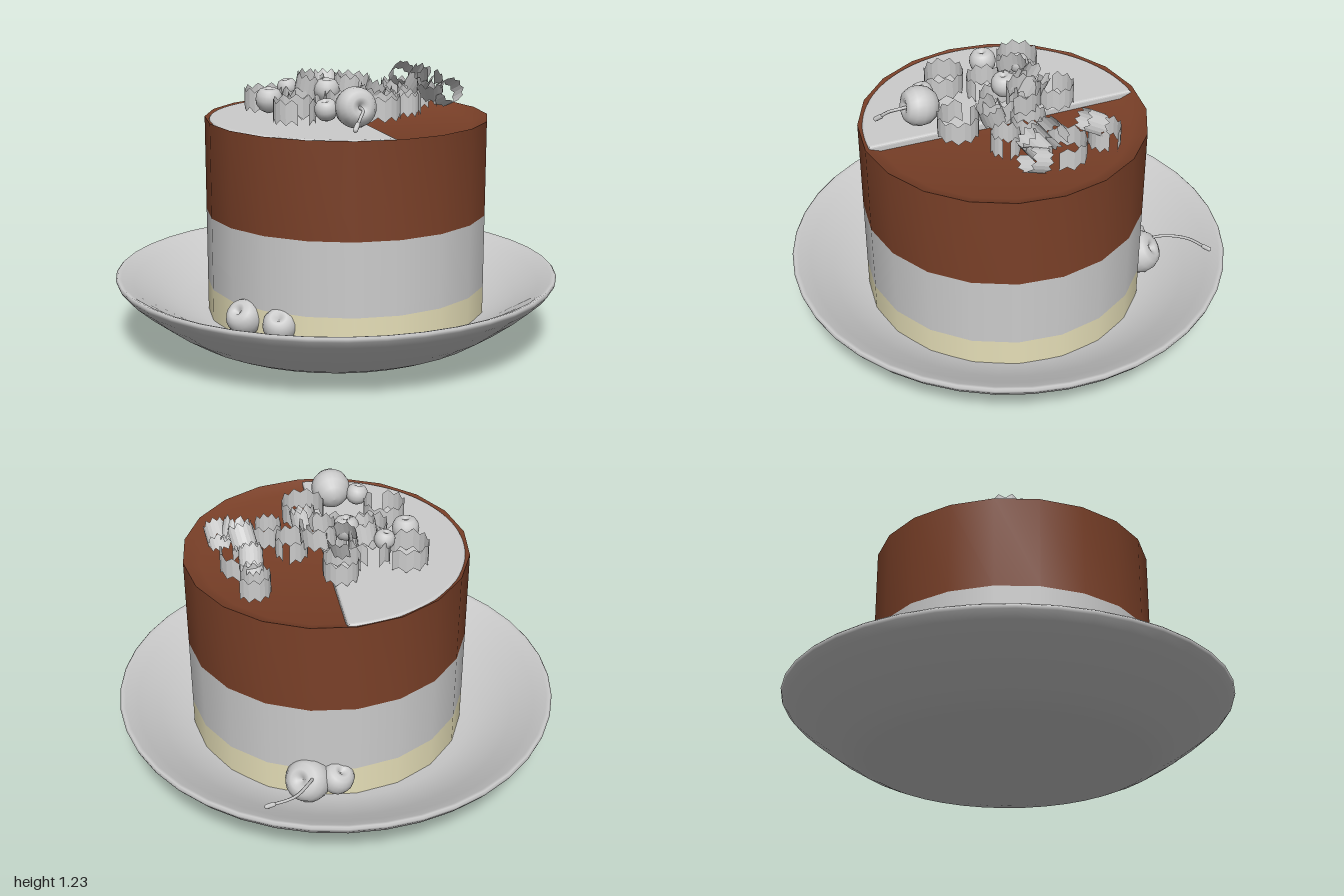
import * as THREE from 'three';
import { toCreasedNormals } from 'three/addons/utils/BufferGeometryUtils.js';

const CX = 0.035, CZ = 0.04, R = 0.63;
const grey = new THREE.MeshStandardMaterial({ color: 0xcccccc });
const ribbonGrey = new THREE.MeshStandardMaterial({ color: 0xcccccc, flatShading: true, side: THREE.DoubleSide });
const brown = new THREE.MeshStandardMaterial({ color: 0x7a4028 });
const beige = new THREE.MeshStandardMaterial({ color: 0xe6dfb8 });

const v2 = ([x, y]) => new THREE.Vector2(x, y);

function add(parent, name, geometry, material, x = 0, y = 0, z = 0) {
  const mesh = new THREE.Mesh(geometry, material);
  mesh.name = name;
  mesh.position.set(x, y, z);
  parent.add(mesh);
  return mesh;
}

const lathe = (points, sides) => toCreasedNormals(new THREE.LatheGeometry(points.map(v2), sides), 0.7);

// Thin ribbon rolled into an open ring, with saw-toothed edges
function curlGeometry(radius, height, arc) {
  const n = 18;
  const geo = new THREE.CylinderGeometry(radius, radius, height, n, 1, true, 0, arc);
  const p = geo.attributes.position;
  for (let i = 0; i < p.count; i++) {
    const k = i % (n + 1);
    p.setY(i, p.getY(i) + (k % 2 ? 0.011 : -0.011));
    const s = 1 - 0.2 * k / n;
    p.setX(i, p.getX(i) * s);
    p.setZ(i, p.getZ(i) * s);
  }
  return geo;
}

// Round fruit with a dimple at the top
function cherryGeometry(r) {
  const profile = [[0, -0.93], [0.3, -0.9], [0.65, -0.72], [0.92, -0.35], [1, 0.05], [0.93, 0.45],
    [0.72, 0.76], [0.45, 0.88], [0.22, 0.8], [0.07, 0.62], [0, 0.58]];
  return new THREE.LatheGeometry(profile.map(([x, y]) => new THREE.Vector2(x * r, y * r)), 24);
}

function addStem(parent, points) {
  const curve = new THREE.CatmullRomCurve3(points.map(p => new THREE.Vector3(...p)));
  add(parent, 'cherryStem', new THREE.TubeGeometry(curve, 16, 0.007, 6), grey);
  // Thickened tip
  const end = curve.getPoint(1);
  const tip = add(parent, 'stemTip', new THREE.CapsuleGeometry(0.011, 0.03, 3, 8), grey, end.x, end.y, end.z);
  tip.quaternion.setFromUnitVectors(new THREE.Vector3(0, 1, 0), curve.getTangent(1));
}

export function createModel() {
  const model = new THREE.Group();

  // Shallow dish: underside, rolled rim, then inner bowl
  const dish = [[0, 0.005], [0.35, 0.01], [0.56, 0.025], [0.64, 0.04], [0.7, 0.067], [0.8, 0.13], [0.9, 0.205],
    [0.97, 0.265], [0.995, 0.297], [1, 0.312], [0.992, 0.32], [0.975, 0.315], [0.92, 0.285],
    [0.82, 0.225], [0.72, 0.175], [0.62, 0.145], [0.5, 0.135], [0, 0.13]];
  add(model, 'plate', new THREE.LatheGeometry(dish.map(v2), 40), grey);

  // Cake layers, bottom to top
  const cake = new THREE.Group();
  cake.name = 'cake';
  cake.position.set(CX, 0, CZ);
  model.add(cake);
  const layer = (name, y0, y1, mat) =>
    add(cake, name, new THREE.CylinderGeometry(R, R, y1 - y0, 20), mat, 0, (y0 + y1) / 2, 0);
  layer('baseLayer', 0.13, 0.285, beige);
  layer('creamLayer', 0.285, 0.61, grey);
  // Chocolate layer with a slightly sunken top
  add(cake, 'chocolateLayer', lathe([[0, 0.61], [R, 0.61], [R, 1.03], [0.6, 1.015], [0.56, 1.0], [0, 0.995]], 20), brown);

  // Half-moon icing covering the left half of the top view
  const half = new THREE.Shape();
  half.absarc(0, 0, 0.598, Math.PI / 2, Math.PI * 1.5, false);
  half.closePath();
  const icing = new THREE.ExtrudeGeometry(half, {
    depth: 0.025, bevelEnabled: true, bevelThickness: 0.01, bevelSize: 0.012, bevelSegments: 3, curveSegments: 32,
  });
  icing.rotateX(-Math.PI / 2);
  add(cake, 'icingHalf', icing, grey, 0, 0.995, 0).rotation.y = -0.04;

  // Ribbon curls: x, y, z, radius, turn, tilt x, tilt z
  const curls = new THREE.Group();
  curls.name = 'curls';
  model.add(curls);
  [
    [-0.27, 1.095, 0.2, 0.1, 0.4, 0, 0],
    [-0.28, 1.095, -0.16, 0.1, 2.2, 0, 0],
    [-0.16, 1.09, 0.05, 0.09, 1.2, 0, 0],
    [-0.12, 1.1, -0.1, 0.1, 3.4, 0, 0],
    [0.02, 1.09, -0.22, 0.09, 5, 0, 0],
    [0.02, 1.1, 0.06, 0.1, 0.2, 0, 0],
    [0.1, 1.1, 0.27, 0.1, 4.2, 0, 0],
    [0.28, 1.085, 0.14, 0.07, 1.5, 0, 0],
    [0.2, 1.09, 0.0, 0.08, 2.9, 0, 0],
    [0.42, 1.085, -0.07, 0.1, 0.9, 0, 0],
    [0.4, 1.085, -0.26, 0.075, 2, 0, 0],
    [-0.1, 1.16, -0.06, 0.07, 2.6, 0.1, 0.15],
    [0.08, 1.155, -0.03, 0.085, 0.7, 0.1, -0.1],
    [0.0, 1.15, -0.12, 0.07, 4, -0.15, 0.3],
    [0.12, 1.13, 0.13, 0.06, 4, 0.5, 0.2],
    [0.4, 1.16, -0.2, 0.055, 1, 0.9, 0.2],
    [0.41, 1.16, -0.01, 0.06, 2, 0.3, 0.4],
    [0.43, 1.15, 0.07, 0.065, 3, 0.7, -0.3],
    [0.5, 1.12, 0.1, 0.06, 5, 0.9, -0.3],
  ].forEach(([x, y, z, r, turn, tx, tz]) => {
    const curl = add(curls, 'curl', curlGeometry(r, 0.09, 5.8), ribbonGrey, x, y, z);
    curl.rotation.set(tx, turn, tz);
  });

  // Cherries: x, y, z, radius, tilt x, tilt z
  const cherries = new THREE.Group();
  cherries.name = 'cherries';
  model.add(cherries);
  [
    [-0.06, 1.123, 0.385, 0.088, 1.4, 0],
    [-0.17, 1.11, 0.335, 0.05, 0.2, 0.2],
    [-0.31, 1.11, -0.01, 0.06, 0.1, 0],
    [-0.185, 1.14, -0.13, 0.046, 0, 0.2],
    [-0.045, 1.14, 0, 0.058, 0.1, 0],
    [0.24, 0.235, -0.56, 0.1, -0.8, -0.6],
    [0.12, 0.24, -0.58, 0.075, -0.4, 0.3],
    [-0.53, 0.23, 0.31, 0.08, 0.5, 0.7],
    [-0.42, 0.225, 0.45, 0.075, 0.6, 0.3],
  ].forEach(([x, y, z, r, tx, tz]) => {
    add(cherries, 'cherry', cherryGeometry(r), grey, x, y, z).rotation.set(tx, 0, tz);
  });
  addStem(cherries, [[-0.06, 1.13, 0.43], [-0.065, 1.125, 0.49], [-0.085, 1.11, 0.52], [-0.12, 1.07, 0.555]]);
  addStem(cherries, [[0.21, 0.27, -0.57], [0.26, 0.31, -0.67], [0.34, 0.325, -0.76], [0.45, 0.335, -0.8]]);

  return model;
}
